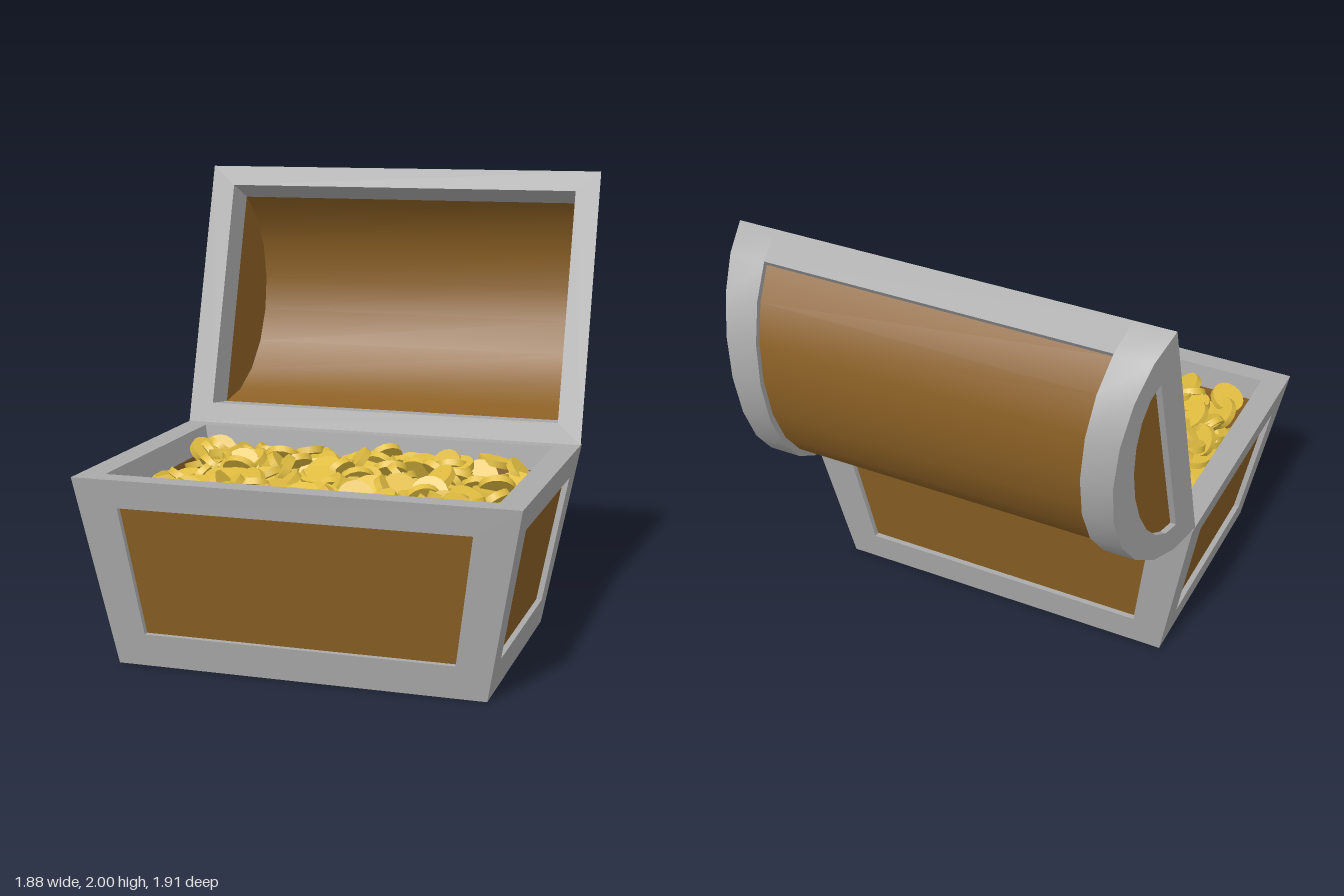
import * as THREE from 'three';
import { mergeGeometries } from 'three/addons/utils/BufferGeometryUtils.js';

const V = (x, y, z) => new THREE.Vector3(x, y, z);
const material = (name, color, side = THREE.FrontSide) => {
  const m = new THREE.MeshStandardMaterial({ color, side });
  m.name = name;
  return m;
};

// Smooth sheet through rows of points
function loft(rows) {
  const n = rows[0].length, index = [];
  for (let r = 0; r < rows.length - 1; r++)
    for (let i = 0; i < n - 1; i++) {
      const a = r * n + i, b = a + n;
      index.push(a, a + 1, b + 1, a, b + 1, b);
    }
  const g = new THREE.BufferGeometry().setFromPoints(rows.flat());
  g.setIndex(index);
  g.computeVertexNormals();
  return g.toNonIndexed();
}

// Flat convex polygon
function poly(pts) {
  const tris = [];
  for (let i = 1; i < pts.length - 1; i++) tris.push(pts[0], pts[i], pts[i + 1]);
  const g = new THREE.BufferGeometry().setFromPoints(tris);
  g.computeVertexNormals();
  return g;
}

// Flat quads joining two closed loops of points
const ring = (a, b) => a.map((p, i) => {
  const j = (i + 1) % a.length;
  return poly([p, a[j], b[j], b[i]]);
});

function addMesh(group, name, geometries, mat) {
  const mesh = new THREE.Mesh(mergeGeometries(geometries), mat);
  mesh.name = name;
  group.add(mesh);
}

// Border, recess edge and sunken panel
function framed(outer, inner, inset, frame, panels) {
  const sunk = inner.map(p => p.clone().add(inset));
  frame.push(...ring(outer, inner), ...ring(inner, sunk));
  panels.push(poly(sunk));
}

const CZ = 0.325, TOP = 0.81;   // chest body centre and height

function buildBase(metal, wood) {
  const base = new THREE.Group();
  base.name = 'base';
  const frame = [], panels = [], inside = [];
  const hx = y => 0.79 + 0.15 * y / TOP;
  const hz = y => 0.535 + 0.1 * y / TOP;
  const rect = (x, z, y) => [V(-x, y, CZ + z), V(x, y, CZ + z), V(x, y, CZ - z), V(-x, y, CZ - z)];

  // Four sloping sides
  const Y = V(0, 1, 0);
  for (let i = 0; i < 4; i++) {
    const [half, out, low, high] = i % 2 ? [hz, hx, 0.412, 0.465] : [hx, hz, 0.665, 0.745];
    const place = p => p.applyAxisAngle(Y, i * Math.PI / 2).add(V(0, 0, CZ));
    const loop = (y0, w0, y1, w1) => [
      V(-w0, y0, out(y0)), V(w0, y0, out(y0)), V(w1, y1, out(y1)), V(-w1, y1, out(y1))].map(place);
    const inset = V(0, 0, -0.025).applyAxisAngle(Y, i * Math.PI / 2);
    framed(loop(0, half(0), TOP, half(TOP)), loop(0.14, low, 0.69, high), inset, frame, panels);
  }
  // Underside
  framed(rect(0.79, 0.535, 0).reverse(), rect(0.66, 0.405, 0).reverse(), V(0, 0.025, 0), frame, panels);

  // Rim and hollow inside
  const rim = rect(0.83, 0.54, TOP), band = rect(0.808, 0.525, 0.7), floor = rect(0.71, 0.45, 0.1);
  frame.push(...ring(rect(hx(TOP), hz(TOP), TOP), rim), ...ring(rim, band));
  inside.push(...ring(band, floor), poly(floor));

  addMesh(base, 'baseFrame', frame, metal);
  addMesh(base, 'basePanels', panels, wood);
  addMesh(base, 'baseLining', inside, wood);
  return base;
}

function buildLid(metal, wood) {
  const lid = new THREE.Group();
  lid.name = 'lid';
  const frame = [], panels = [], inside = [];
  const MID = 0.623;
  // Leaning lid: u runs up the opening, d runs back from it
  const P = (x, u, d) => V(x, TOP + 0.955 * u - 0.297 * d, -0.28 - 0.297 * u - 0.955 * d);
  const outerX = d => 0.94 - 0.23 * d;
  const panelX = d => 0.77 - 0.15 * d;
  const innerX = d => 0.83 - 0.15 * d;
  const neg = f => d => -f(d);
  const OUT = [MID, 0.476], SUNK = [0.593, 0.446], IN = [0.53, 0.42];

  // Half-ellipse points k0..k1 of ten steps
  const arc = (k0, k1, xf, [a, b], d0 = 0) => {
    const pts = [];
    for (let k = k0; k <= k1; k++) {
      const t = Math.PI * (1 - k / 10), d = d0 + b * Math.sin(t);
      pts.push(P(xf(d), MID + a * Math.cos(t), d));
    }
    return pts;
  };
  const sheet = (k0, k1, x0, x1, size) => {
    const p = arc(k0, k1, x0, size), q = arc(k0, k1, x1, size);
    return loft(p.map((v, i) => [v, q[i]]));
  };

  // Curved back: two straps, two lips, sunken wood
  frame.push(sheet(0, 10, outerX, panelX, OUT), sheet(0, 10, neg(panelX), neg(outerX), OUT));
  for (const k of [0, 9]) {
    frame.push(sheet(k, k + 1, panelX, neg(panelX), OUT));
    inside.length;
    const e = k ? 9 : 1;
    const a = [...arc(e, e, panelX, OUT), ...arc(e, e, neg(panelX), OUT)];
    const b = [...arc(e, e, panelX, SUNK), ...arc(e, e, neg(panelX), SUNK)];
    frame.push(loft(k ? [b, a] : [a, b]));
  }
  panels.push(sheet(1, 9, panelX, neg(panelX), SUNK));

  for (const s of [1, -1]) {
    const side = f => d => s * f(d);
    const turn = a => (s > 0 ? a : a.reverse());
    // Recess edge beside the strap
    frame.push(loft(turn([arc(1, 9, side(panelX), SUNK), arc(1, 9, side(panelX), OUT)])));
    // Outer end with half-round panel
    framed(turn(arc(0, 10, side(outerX), OUT)), turn(arc(0, 10, side(outerX), [0.45, 0.22], 0.12)),
      V(-0.025 * s, 0, 0), frame, panels);
    // Inner end: metal edge, then wood
    const lining = arc(0, 10, side(innerX), IN);
    frame.push(poly(turn([lining[10], lining[9], lining[1], lining[0]])));
    inside.push(poly(turn(lining.slice(1, 10).reverse())));
  }

  // Opening rim and hollow inside
  const rect = (x, h) => [P(-x, MID - h, 0), P(x, MID - h, 0), P(x, MID + h, 0), P(-x, MID + h, 0)];
  frame.push(...ring(rect(0.94, MID), rect(0.83, 0.53)));
  for (const k of [0, 9]) frame.push(sheet(k, k + 1, neg(innerX), innerX, IN));
  inside.push(sheet(1, 9, neg(innerX), innerX, IN));

  addMesh(lid, 'lidFrame', frame, metal);
  addMesh(lid, 'lidPanels', panels, wood);
  addMesh(lid, 'lidLining', inside, wood);
  return lid;
}

// Heap of tumbled coins
function buildCoins(gold) {
  let seed = 7;
  const rand = () => (seed = (seed * 16807) % 2147483647) / 2147483647;
  const coin = new THREE.CylinderGeometry(0.078, 0.078, 0.03, 16);
  const heap = [];
  const m = new THREE.Matrix4(), q = new THREE.Quaternion(), one = V(1, 1, 1);
  for (let i = 0; i < 750; i++) {
    const az = rand() * Math.PI * 2;
    q.setFromAxisAngle(V(Math.cos(az), 0, Math.sin(az)), rand() * 1.15);
    const pos = V((rand() * 2 - 1) * 0.725, 0.45 + 0.305 * rand(), CZ + (rand() * 2 - 1) * 0.44);
    heap.push(coin.clone().applyMatrix4(m.compose(pos, q, one)));
  }
  const group = new THREE.Group();
  group.name = 'treasure';
  addMesh(group, 'coins', heap, gold);
  return group;
}

export function createModel() {
  const metal = material('grey metal', 0xaaaaaa, THREE.DoubleSide);
  const wood = material('brown wood', 0x8a5f24, THREE.DoubleSide);
  const gold = material('gold', 0xe0bc40);
  const model = new THREE.Group();
  model.name = 'treasureChest';
  model.add(buildBase(metal, wood), buildLid(metal, wood), buildCoins(gold));
  return model;
}
